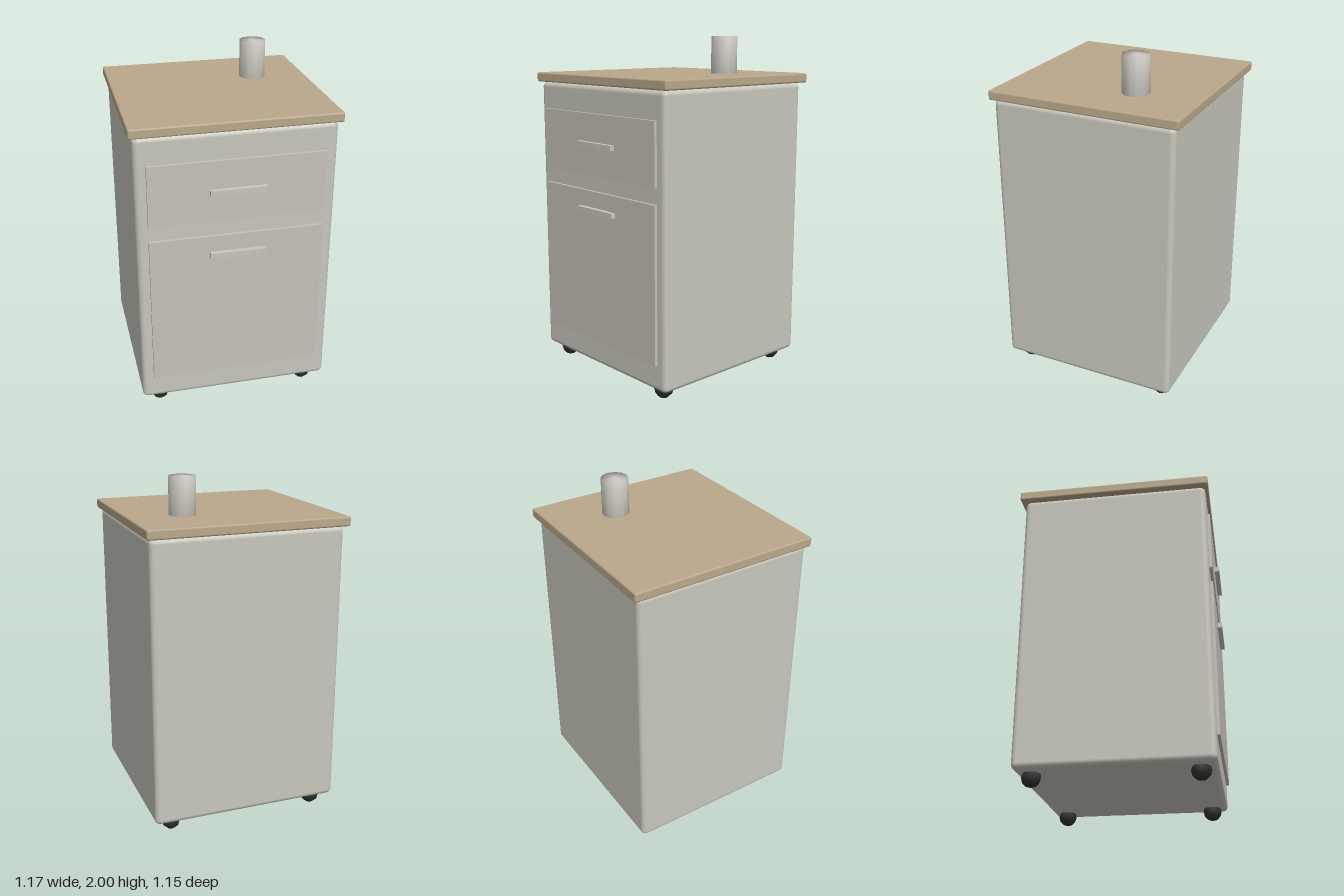
import * as THREE from 'three';
import { RoundedBoxGeometry } from 'three/addons/geometries/RoundedBoxGeometry.js';
import { mergeVertices } from 'three/addons/utils/BufferGeometryUtils.js';

const material = (name, color) => {
  const m = new THREE.MeshStandardMaterial({ color });
  m.name = name;
  return m;
};

// Welds all corners so the shading runs smoothly over the edges
function smooth(geometry) {
  geometry.deleteAttribute('uv');
  geometry.deleteAttribute('normal');
  const welded = mergeVertices(geometry);
  welded.computeVertexNormals();
  return welded;
}

export function createModel() {
  const group = new THREE.Group();
  const shell = material('warmGrey', 0xc8c7bc);
  const front = material('drawerGrey', 0xc6c1b9);
  const wood = material('wood', 0xbaa88b);
  const rubber = material('blackRubber', 0x303030);
  const ceramic = material('paleCeramic', 0xd0cec5);

  const add = (name, geometry, mat, x, y, z) => {
    const mesh = new THREE.Mesh(geometry, mat);
    mesh.name = name;
    mesh.position.set(x, y, z);
    group.add(mesh);
  };

  // Cabinet body and worktop
  add('cabinetBody', new RoundedBoxGeometry(1.12, 1.655, 1.075, 3, 0.03), shell, 0, 0.9025, -0.0075);
  add('worktop', new RoundedBoxGeometry(1.166, 0.055, 1.122, 1, 0.01), wood, 0, 1.7575, -0.014);

  // Drawer fronts with bar handles: bottom, top, handle height
  const drawers = [
    ['upperDrawer', 1.217, 1.573, 1.397],
    ['lowerDrawer', 0.227, 1.127, 1.017],
  ];
  for (const [name, bottom, top, handleY] of drawers) {
    add(name, new THREE.BoxGeometry(0.99, top - bottom, 0.02), front, 0, (bottom + top) / 2, 0.537);
    add(name + 'Handle', new THREE.BoxGeometry(0.315, 0.03, 0.027), shell, 0, handleY, 0.5605);
  }

  // Ball casters
  const ball = new THREE.SphereGeometry(0.055, 8, 6);
  for (const x of [-0.448, 0.448]) {
    for (const z of [-0.457, 0.441]) add('caster', ball, rubber, x, 0.055, z);
  }

  // Cup on the worktop
  add('cup', smooth(new THREE.CylinderGeometry(0.078, 0.078, 0.215, 12)), ceramic, 0.268, 1.8925, -0.195);

  return group;
}
